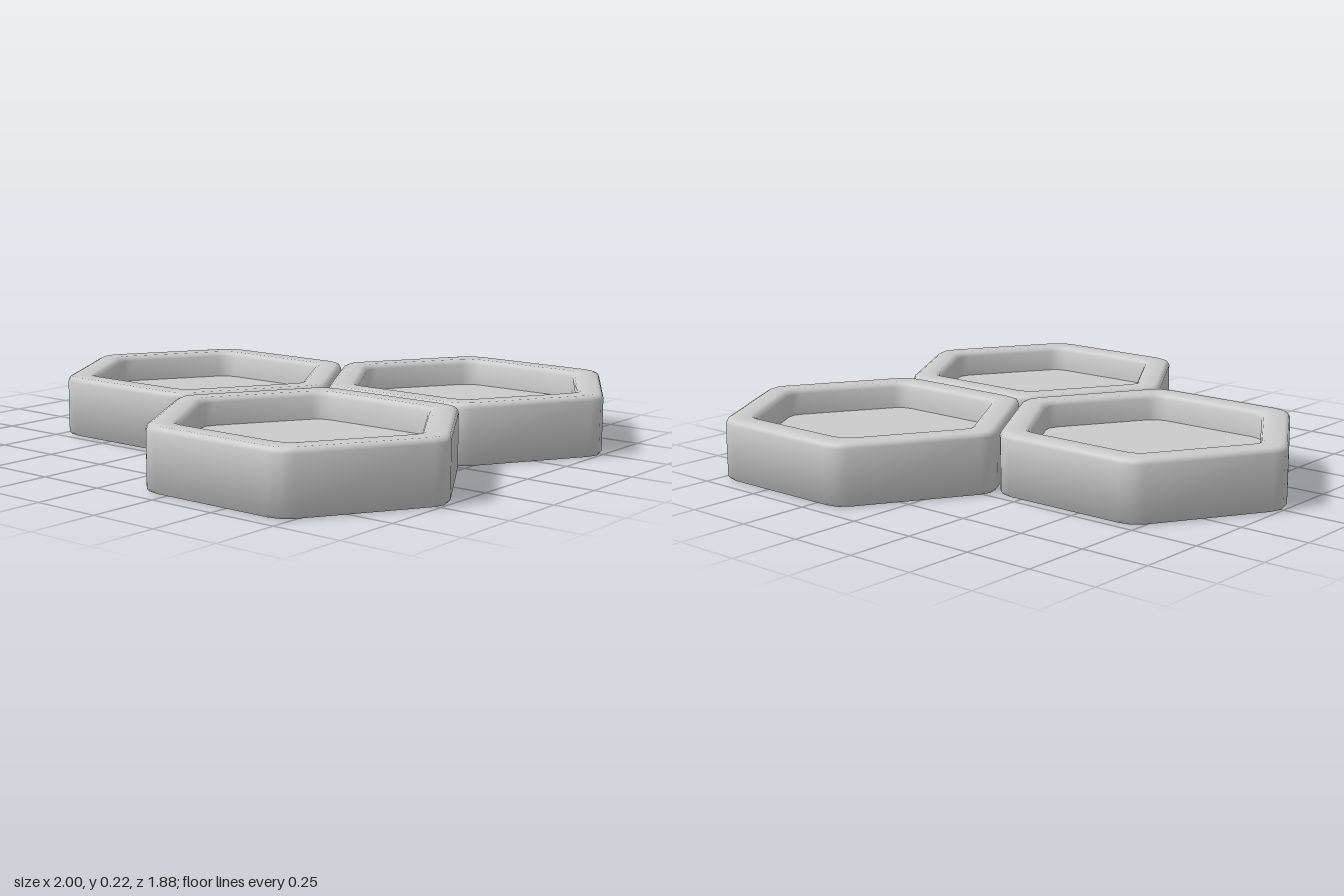
import * as THREE from 'three';
import { toCreasedNormals } from 'three/addons/utils/BufferGeometryUtils.js';

const HALF_X = 0.575, HALF_Z = 0.47;

// Hexagon outline with each corner softened into three points
function hexOutline() {
  const corners = [];
  for (let i = 0; i < 6; i++) {
    const a = i * Math.PI / 3;
    corners.push(new THREE.Vector2(HALF_X * Math.cos(a), HALF_Z * Math.sin(a) / Math.sin(Math.PI / 3)));
  }
  const points = [];
  corners.forEach((c, i) => {
    const before = corners[(i + 5) % 6], after = corners[(i + 1) % 6];
    const start = c.clone().lerp(before, 0.09);
    const end = c.clone().lerp(after, 0.09);
    points.push(...new THREE.QuadraticBezierCurve(start, c, end).getPoints(2));
  });
  return points;
}

// Tray cross-section as [inset, height], from the underside over the rim to the floor
const PROFILE = [
  [0.02, 0], [0.008, 0], [0, 0.01], [0, 0.2], [0.005, 0.212], [0.018, 0.218],
  [0.08, 0.218], [0.093, 0.212], [0.1, 0.2], [0.1, 0.12],
];

function trayGeometry() {
  const outline = hexOutline();
  const n = outline.length;
  const positions = [], index = [];
  for (const [inset, y] of PROFILE) {
    for (const p of outline) positions.push(p.x * (1 - inset * 1.96), y, p.y * (1 - inset * 2.128));
  }
  const last = (PROFILE.length - 1) * n;
  const bottom = positions.length / 3, floor = bottom + 1;
  positions.push(0, 0, 0, 0, PROFILE[PROFILE.length - 1][1], 0);
  for (let j = 0; j < n; j++) {
    const k = (j + 1) % n;
    for (let r = 0; r < last; r += n) {
      index.push(r + j, r + n + j, r + k, r + k, r + n + j, r + n + k);
    }
    // underside and recessed floor
    index.push(bottom, j, k, floor, last + k, last + j);
  }
  const geometry = new THREE.BufferGeometry();
  geometry.setAttribute('position', new THREE.Float32BufferAttribute(positions, 3));
  geometry.setIndex(index);
  return toCreasedNormals(geometry, THREE.MathUtils.degToRad(50));
}

export function createModel() {
  const group = new THREE.Group();
  group.name = 'hexagonTrays';
  const material = new THREE.MeshStandardMaterial({ color: 0xcccccc });
  const geometry = trayGeometry();

  // Three trays nested together
  const places = { rightTray: [-0.4375, 0], backLeftTray: [0.4375, -0.47], frontLeftTray: [0.4375, 0.47] };
  for (const [name, [x, z]] of Object.entries(places)) {
    const tray = new THREE.Mesh(geometry, material);
    tray.name = name;
    tray.position.set(x, 0, z);
    group.add(tray);
  }
  return group;
}
